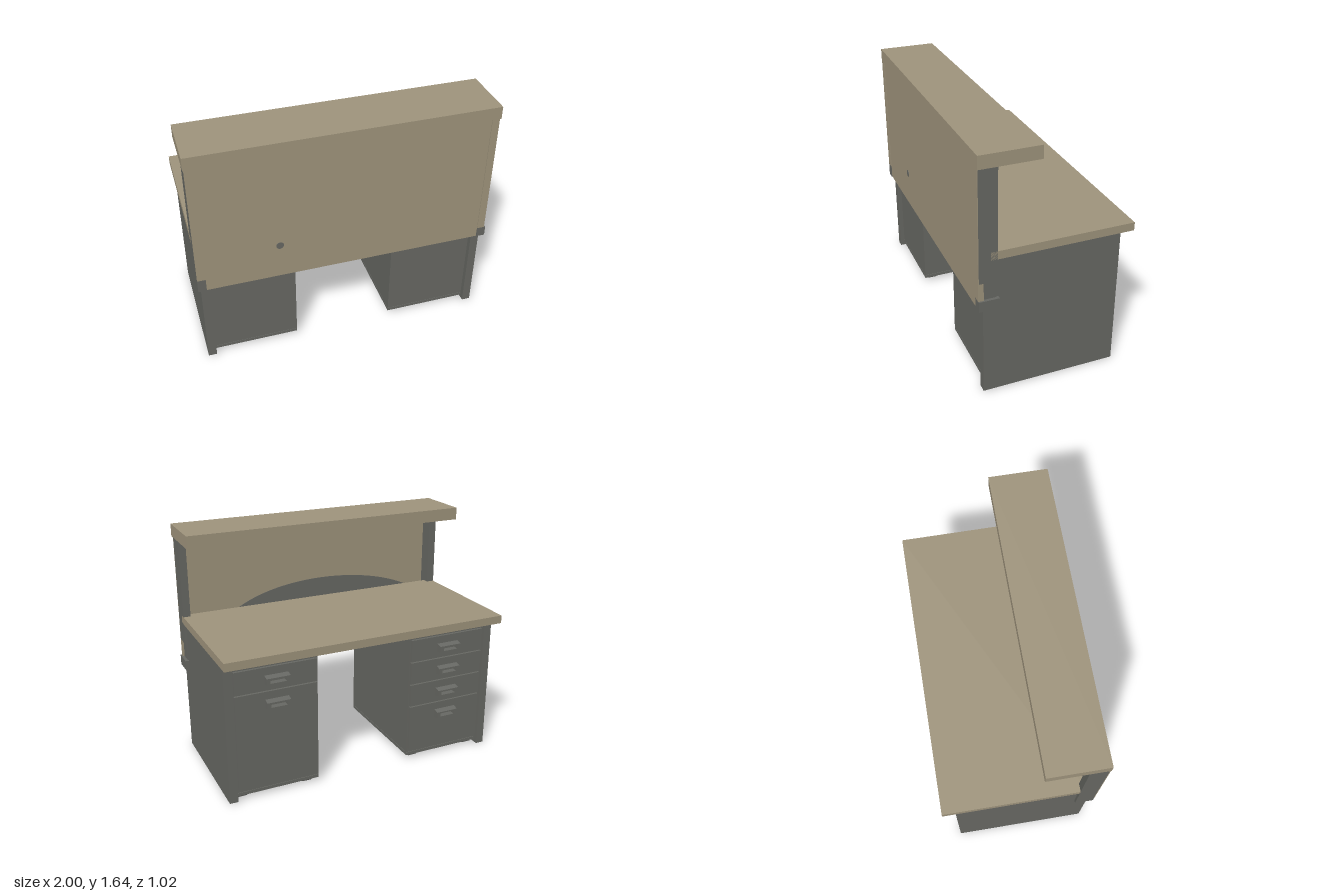
import * as THREE from 'three';

export function createModel() {
  const model = new THREE.Group();
  model.name = 'receptionDesk';
  const tan = new THREE.MeshStandardMaterial({ color: 0xa0957d });
  tan.name = 'tanLaminate';
  const gray = new THREE.MeshStandardMaterial({ color: 0x686964 });
  gray.name = 'grayMetal';

  const add = (parent, name, geometry, material) => {
    const mesh = new THREE.Mesh(geometry, material);
    mesh.name = name;
    parent.add(mesh);
    return mesh;
  };
  // Box given by its limits along each axis
  const box = (parent, name, material, x0, x1, y0, y1, z0, z1) => {
    const geometry = new THREE.BoxGeometry(Math.abs(x1 - x0), y1 - y0, z1 - z0);
    geometry.translate((x0 + x1) / 2, (y0 + y1) / 2, (z0 + z1) / 2);
    return add(parent, name, geometry, material);
  };

  // Tan surfaces
  box(model, 'counterShelf', tan, -1, 1, 1.56, 1.645, 0.12, 0.51);
  box(model, 'desktop', tan, -0.995, 0.99, 0.965, 1.02, -0.51, 0.43);
  box(model, 'frontPanel', tan, -0.94, 0.94, 0.63, 1.56, 0.476, 0.505);

  // Small round plate on the front of the panel
  const plate = new THREE.CylinderGeometry(0.025, 0.025, 0.004, 24);
  plate.rotateX(Math.PI / 2);
  plate.translate(-0.45, 0.88, 0.506);
  add(model, 'roundPlate', plate, gray);

  // Low arched patch on the inner side of the panel
  const arch = new THREE.Shape();
  arch.moveTo(0.57, 1.0);
  arch.bezierCurveTo(0.25, 1.19, -0.4, 1.19, -0.79, 1.0);
  arch.closePath();
  const archGeometry = new THREE.ExtrudeGeometry(arch, { depth: 0.004, bevelEnabled: false, curveSegments: 24 });
  archGeometry.translate(0, 0, 0.473);
  add(model, 'archedPatch', archGeometry, gray);

  // Left post, notched above its foot block
  const leftPost = new THREE.Group();
  leftPost.name = 'leftPost';
  model.add(leftPost);
  box(leftPost, 'postBody', gray, 0.94, 0.99, 0.82, 1.56, 0.385, 0.505);
  box(leftPost, 'postFace', tan, 0.94, 0.99, 0.82, 1.56, 0.505, 0.51);
  box(leftPost, 'notchFace', tan, 0.94, 0.99, 0.7, 0.82, 0.475, 0.51);
  box(leftPost, 'notchCore', gray, 0.94, 0.98, 0.7, 0.82, 0.395, 0.475);
  box(leftPost, 'footBlock', gray, 0.94, 1, 0.63, 0.7, 0.377, 0.51);

  // Right post, plain
  const rightPost = new THREE.Group();
  rightPost.name = 'rightPost';
  model.add(rightPost);
  box(rightPost, 'postBody', gray, -0.995, -0.94, 0.72, 1.56, 0.385, 0.505);
  box(rightPost, 'postFace', tan, -0.995, -0.94, 0.72, 1.56, 0.505, 0.51);
  box(rightPost, 'footBlock', gray, -0.995, -0.94, 0.63, 0.72, 0.385, 0.51);

  // Drawer pull: a tapered rectangular frame
  const pull = new THREE.Shape();
  const rectangle = (path, w, h) => {
    path.moveTo(-w, -h);
    path.lineTo(w, -h);
    path.lineTo(w, h);
    path.lineTo(-w, h);
    path.closePath();
    return path;
  };
  rectangle(pull, 0.08, 0.03);
  pull.holes.push(rectangle(new THREE.Path(), 0.055, 0.014));
  const pullGeometry = new THREE.ExtrudeGeometry(pull, { depth: 0.042, bevelEnabled: false });
  const p = pullGeometry.attributes.position;
  for (let i = 0; i < p.count; i++) {
    if (p.getZ(i) > 0.02 && Math.abs(p.getY(i)) > 0.02) p.setY(i, p.getY(i) * 0.68);
  }
  pullGeometry.rotateY(Math.PI);
  pullGeometry.computeVertexNormals();

  // Pedestal with end panel, drawers, pulls and feet
  const pedestal = (name, side, edges) => {
    const group = new THREE.Group();
    group.name = name;
    model.add(group);
    const inner = 0.34 * side, outer = 0.915 * side, middle = (inner + outer) / 2;
    box(group, 'endPanel', gray, 0.918 * side, 0.975 * side, 0.005, 0.965, -0.425, 0.475);
    box(group, 'cabinet', gray, inner, outer, 0.055, 0.94, -0.4, 0.445);
    box(group, 'base', gray, inner, outer, 0.03, 0.052, -0.4, 0.445);
    for (let i = 0; i < edges.length - 1; i++) {
      box(group, 'drawerFront', gray, inner + 0.008 * side, outer - 0.008 * side,
        edges[i + 1] + 0.004, edges[i] - 0.004, -0.418, -0.4);
      add(group, 'drawerPull', pullGeometry, gray).position.set(middle, edges[i] - 0.087, -0.417);
    }
    for (const x of [0.41, 0.87]) {
      for (const z of [-0.33, 0.38]) {
        const foot = new THREE.CylinderGeometry(0.062, 0.045, 0.03, 4);
        foot.rotateY(Math.PI / 4);
        foot.translate(x * side, 0.015, z);
        const mesh = add(group, 'foot', foot.toNonIndexed(), gray);
        mesh.geometry.computeVertexNormals();
      }
    }
  };
  pedestal('leftPedestal', 1, [0.912, 0.747, 0.08]);
  pedestal('rightPedestal', -1, [0.912, 0.747, 0.582, 0.415, 0.08]);

  return model;
}
